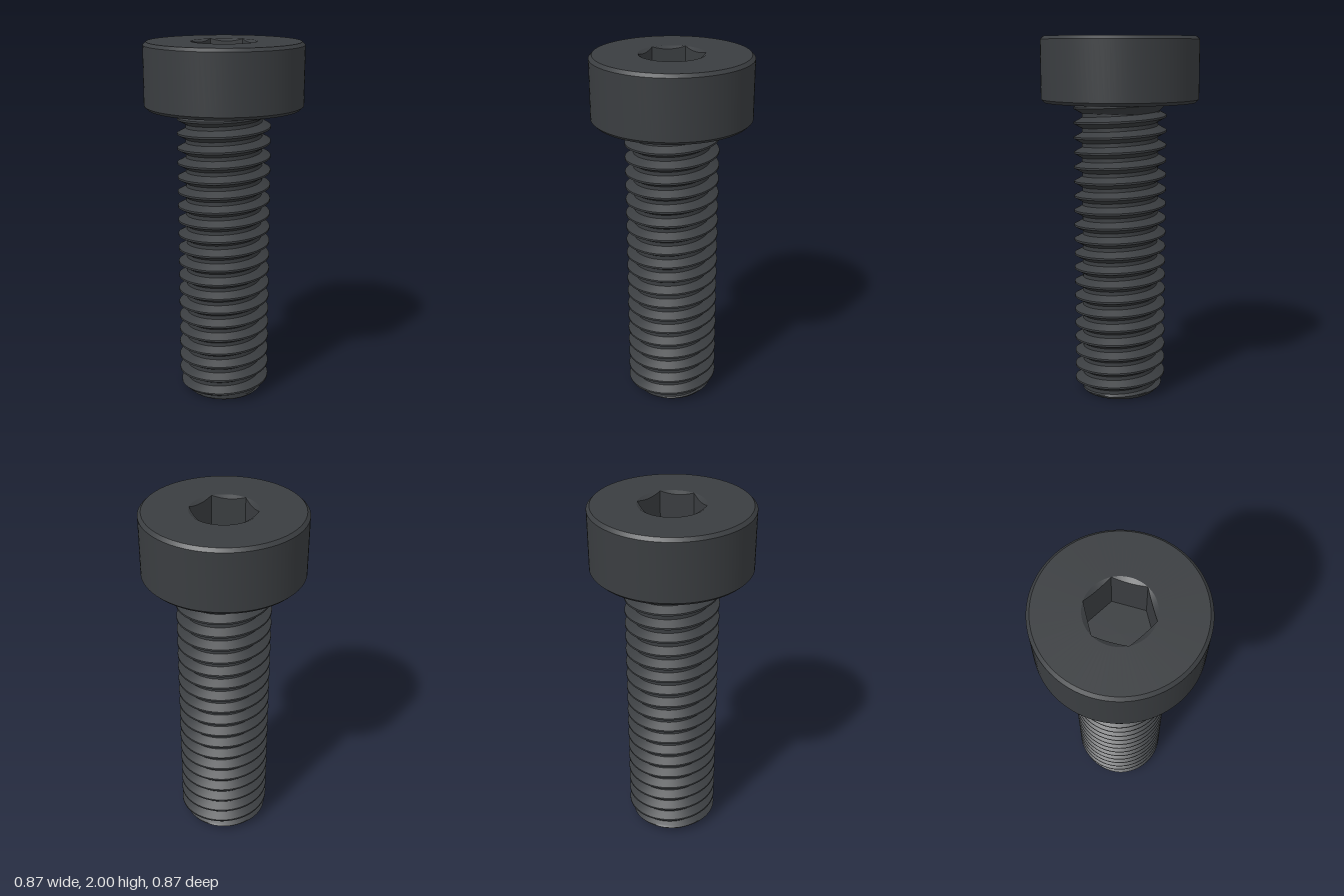
import * as THREE from 'three';
import { toCreasedNormals } from 'three/addons/utils/BufferGeometryUtils.js';

const SEGMENTS = 96;
const HEAD_BASE = 1.645, TOP = 2, HEAD_RADIUS = 0.433, HEAD_CHAMFER = 0.017;
const HEX_CORNER = 0.178, SOCKET_DEPTH = 0.26;
const CREST = 0.256, THREAD_DEPTH = 0.046, PITCH = 0.0816, CREST_PHASE = 0.089;
const TIP_RADIUS = 0.205, STEPS = 16;

// Surface wrapped around the y axis; point(angle, row) returns [radius, y]
function wrappedSurface(rows, point) {
  const positions = [], index = [];
  for (let j = 0; j <= rows; j++) {
    for (let i = 0; i <= SEGMENTS; i++) {
      const angle = (i / SEGMENTS) * Math.PI * 2;
      const [r, y] = point(angle, j);
      positions.push(r * Math.cos(angle), y, -r * Math.sin(angle));
      if (i < SEGMENTS && j < rows) {
        const a = j * (SEGMENTS + 1) + i, b = a + SEGMENTS + 1;
        index.push(a, a + 1, b, a + 1, b + 1, b);
      }
    }
  }
  const geometry = new THREE.BufferGeometry();
  geometry.setAttribute('position', new THREE.Float32BufferAttribute(positions, 3));
  geometry.setIndex(index);
  geometry.computeVertexNormals();
  return geometry;
}

// Thread radius: flat crest, straight flanks, flat root; cut by the tip chamfer, flared under the head
function threadRadius(step, y) {
  const f = Math.abs(((step + STEPS / 2) % STEPS) - STEPS / 2) / STEPS;
  const drop = THREE.MathUtils.clamp((f - 1 / 16) / (5 / 16), 0, 1);
  const flare = CREST + 0.008 - (HEAD_BASE - y);
  return Math.min(Math.max(CREST - THREAD_DEPTH * drop, flare), TIP_RADIUS + y);
}

export function createModel() {
  const group = new THREE.Group();
  const material = new THREE.MeshStandardMaterial({ color: 0x3a3d40 });
  const add = (name, geometry) => {
    const mesh = new THREE.Mesh(toCreasedNormals(geometry, 0.45), material);
    mesh.name = name;
    group.add(mesh);
    return mesh;
  };

  // Cylindrical head with chamfered rims
  const c = HEAD_CHAMFER;
  const profile = [
    [0.2, HEAD_BASE], [HEAD_RADIUS - c, HEAD_BASE], [HEAD_RADIUS, HEAD_BASE + c],
    [HEAD_RADIUS, TOP - c], [HEAD_RADIUS - c, TOP], [HEX_CORNER, TOP],
  ].map(([x, y]) => new THREE.Vector2(x, y));
  add('head', new THREE.LatheGeometry(profile, SEGMENTS));

  // Hexagonal socket with a conical lead-in at its mouth
  add('hexSocket', wrappedSurface(3, (angle, row) => {
    const offset = (angle % (Math.PI / 3)) - Math.PI / 6;
    const r = HEX_CORNER * Math.cos(Math.PI / 6) / Math.cos(offset);
    return [
      [HEX_CORNER, TOP],
      [r, TOP - (HEX_CORNER - r) * 0.58],
      [r, TOP - SOCKET_DEPTH],
      [0, TOP - SOCKET_DEPTH],
    ][row];
  }));

  // Shank with a right-hand helical thread
  const turns = Math.ceil(HEAD_BASE / PITCH) + 3;
  add('threadedShank', wrappedSurface(turns * STEPS, (angle, row) => {
    const helix = CREST_PHASE + PITCH * (angle / (Math.PI * 2) + row / STEPS - 3);
    const y = THREE.MathUtils.clamp(helix, 0, HEAD_BASE);
    return [threadRadius(row, y), y];
  }));

  // Flat end of the shank
  const tip = add('shankTip', new THREE.CircleGeometry(TIP_RADIUS, SEGMENTS));
  tip.rotation.x = Math.PI / 2;

  return group;
}
